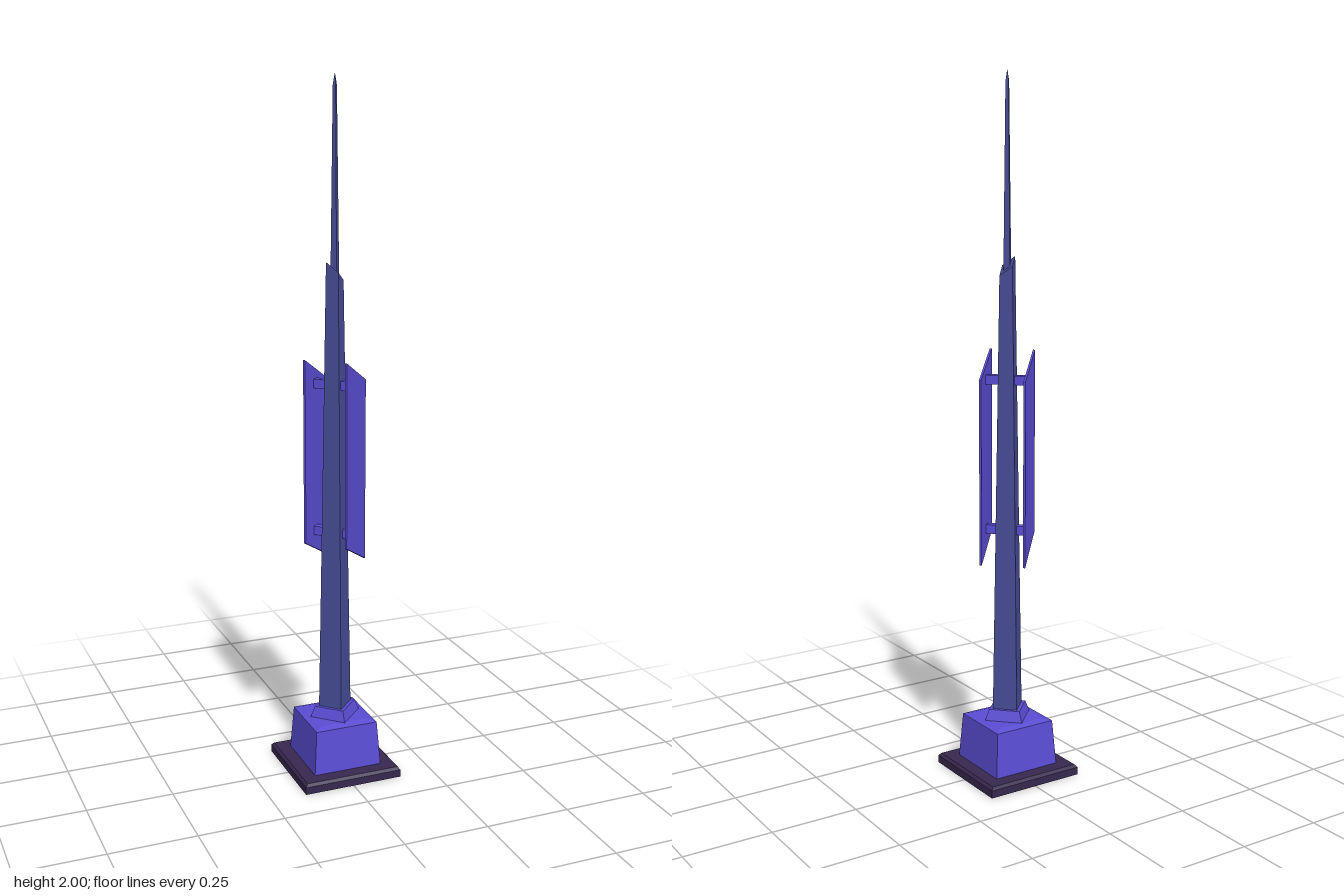
import * as THREE from 'three';

const mat = (color) => new THREE.MeshStandardMaterial({ color, flatShading: true });
const plateMat = mat(0x36284f);
const violetMat = mat(0x5a4dd4);
const towerMat = mat(0x464c96);

// Four-sided frustum. Corners lie on the x and z axes, or on the diagonals when square.
function frustum(name, material, r0, r1, y0, y1, square = false) {
  const k = square ? Math.SQRT2 : 1;
  const geo = new THREE.CylinderGeometry(r1 * k, r0 * k, y1 - y0, 4);
  if (square) geo.rotateY(Math.PI / 4);
  geo.translate(0, (y0 + y1) / 2, 0);
  const mesh = new THREE.Mesh(geo, material);
  mesh.name = name;
  return mesh;
}

// Moves each vertex in y by a rule.
function shiftY(geo, rule) {
  const p = geo.attributes.position;
  for (let i = 0; i < p.count; i++) {
    p.setY(i, p.getY(i) + rule(p.getX(i), p.getY(i), p.getZ(i)));
  }
  geo.computeVertexNormals();
}

// One slanted panel with its two brackets, facing local +z
function sidePanel(slope) {
  const group = new THREE.Group();
  const geo = new THREE.BoxGeometry(0.138, 0.53, 0.006);
  shiftY(geo, (x) => slope * x);
  const panel = new THREE.Mesh(geo, violetMat);
  panel.name = 'panel';
  panel.position.set(0, 0.935, 0.0626);
  group.add(panel);
  for (const y of [0.727, 1.158]) {
    const bracket = new THREE.Mesh(new THREE.BoxGeometry(0.022, 0.026, 0.045), violetMat);
    bracket.name = 'bracket';
    bracket.position.set(0, y, 0.0385);
    group.add(bracket);
  }
  return group;
}

export function createModel() {
  const model = new THREE.Group();
  model.name = 'tower';

  // Stepped base
  model.add(
    frustum('basePlate', plateMat, 0.148, 0.148, 0, 0.022, true),
    frustum('basePlateBevel', plateMat, 0.148, 0.141, 0.022, 0.03, true),
    frustum('pedestal', violetMat, 0.103, 0.094, 0.03, 0.16, true),
    frustum('pedestalTop', violetMat, 0.094, 0.074, 0.16, 0.166, true),
    frustum('collar', violetMat, 0.078, 0.063, 0.162, 0.197)
  );

  // Tapered shaft with a slanted top
  const shaft = frustum('shaft', towerMat, 0.05, 0.026, 0.19, 1.475);
  shiftY(shaft.geometry, (x, y) => (y > 1 ? -x : 0));
  model.add(shaft);

  // Spire and its pointed tip
  model.add(
    frustum('spire', towerMat, 0.013, 0.006, 1.45, 1.97),
    frustum('spireTip', towerMat, 0.006, 0.0005, 1.97, 2)
  );

  // Panels on two opposite faces, both slanting down toward +x, -z
  [['frontPanel', Math.PI / 4, -0.51], ['backPanel', -Math.PI * 3 / 4, 0.51]].forEach(([name, turn, slope]) => {
    const side = sidePanel(slope);
    side.name = name;
    side.rotation.y = turn;
    model.add(side);
  });

  return model;
}
